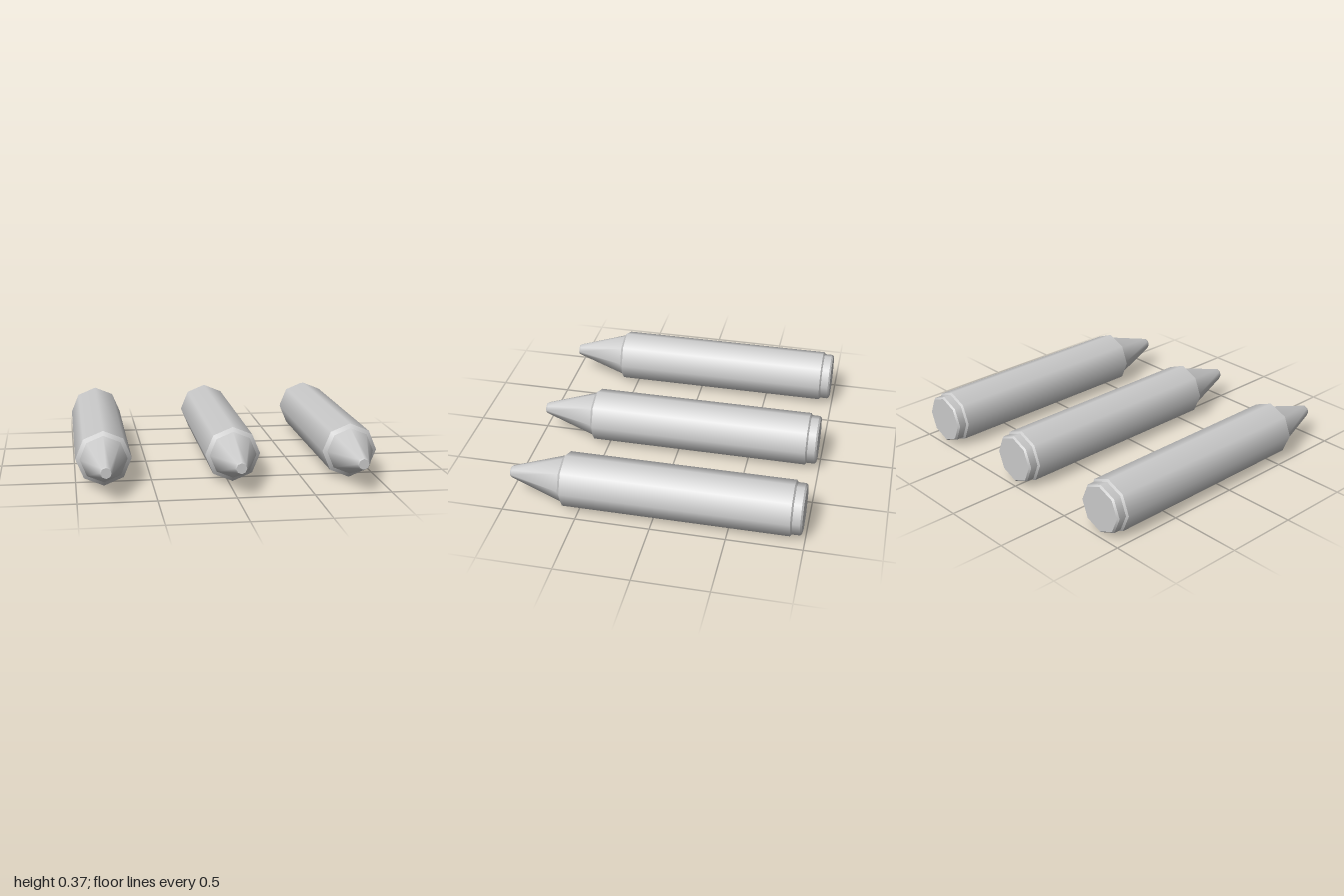
import * as THREE from 'three';
import { mergeGeometries } from 'three/addons/utils/BufferGeometryUtils.js';

const SIDES = 8;
const RADIUS = 0.183;

// Eight-sided turned form along z, from [radius, z] profile points.
// Each section is its own lathe: smooth around, sharp along the profile.
function turned(profile) {
  const sections = [];
  for (let i = 0; i < profile.length - 1; i++) {
    const pair = [profile[i], profile[i + 1]].map(([r, z]) => new THREE.Vector2(r, z));
    sections.push(new THREE.LatheGeometry(pair, SIDES));
  }
  return mergeGeometries(sections).rotateX(Math.PI / 2);
}

export function createModel() {
  const model = new THREE.Group();
  model.name = 'crayons';
  const material = new THREE.MeshStandardMaterial({ color: 0xcccccc });

  // Wax stick: chamfered flat back end, straight body, tapered blunt tip
  const wax = turned([
    [0, -0.98], [0.158, -0.98], [0.169, -0.968], [0.169, -0.9],
  ]);
  const tip = turned([
    [0.158, 0.6], [0.155, 0.62], [0.041, 0.97], [0.035, 0.98], [0, 0.98],
  ]);

  // Paper wrapper with sloped shoulders at both ends
  const wrapper = turned([
    [0.167, -0.918], [RADIUS, -0.905], [RADIUS, 0.6], [0.155, 0.62],
  ]);

  [-0.817, 0.03, 0.817].forEach((x, i) => {
    const crayon = new THREE.Group();
    crayon.name = `crayon${i + 1}`;
    for (const [name, geometry] of Object.entries({ waxEnd: wax, waxTip: tip, wrapper })) {
      const mesh = new THREE.Mesh(geometry, material);
      mesh.name = name;
      crayon.add(mesh);
    }
    crayon.position.set(x, RADIUS, 0);
    model.add(crayon);
  });
  return model;
}
